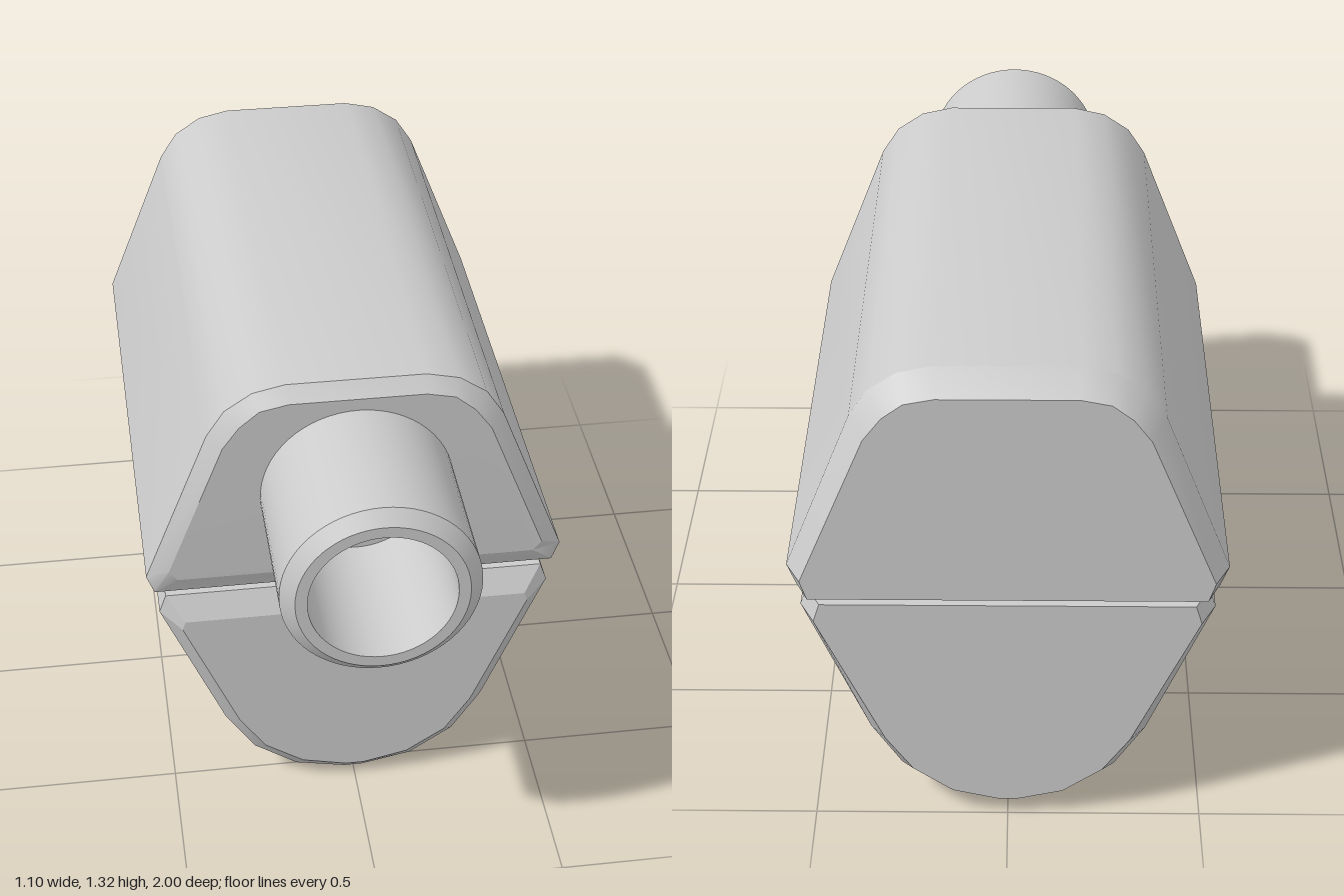
import * as THREE from 'three';
import { toCreasedNormals } from 'three/addons/utils/BufferGeometryUtils.js';

const material = new THREE.MeshStandardMaterial({ color: 0xcccccc });

// Mirror a right-hand half outline (listed upwards) into a closed loop at depth z
function section(half, z) {
  const left = half.map(([x, y]) => [-x, y]).reverse();
  return [...half, ...left].map(([x, y]) => new THREE.Vector3(x, y, z));
}

// Skin convex sections from front to back and cap both ends
function loft(sections) {
  const pos = [];
  const tri = (...pts) => pts.forEach((p) => pos.push(p.x, p.y, p.z));
  const n = sections[0].length;
  for (let s = 0; s < sections.length - 1; s++) {
    const a = sections[s], b = sections[s + 1];
    for (let i = 0; i < n; i++) {
      const j = (i + 1) % n;
      tri(a[i], b[i], b[j]);
      tri(a[i], b[j], a[j]);
    }
  }
  const front = sections[0], back = sections[sections.length - 1];
  for (let i = 1; i < n - 1; i++) {
    tri(front[0], front[i], front[i + 1]);
    tri(back[0], back[i + 1], back[i]);
  }
  const geometry = new THREE.BufferGeometry();
  geometry.setAttribute('position', new THREE.Float32BufferAttribute(pos, 3));
  return toCreasedNormals(geometry, 0.47);
}

// Long half-shell with chamfered ends
function shell(name, outline, frontInset, backInset) {
  const mesh = new THREE.Mesh(loft([
    section(frontInset, 0.565),
    section(outline, 0.53),
    section(outline, -0.925),
    section(backInset, -1),
  ]), material);
  mesh.name = name;
  return mesh;
}

export function createModel() {
  const group = new THREE.Group();
  group.name = 'splitBody';

  group.add(shell('upperShell',
    [[0.53, 0.69], [0.55, 0.743], [0.38, 1.178], [0.333, 1.25], [0.262, 1.298], [0.178, 1.317]],
    [[0.47, 0.752], [0.492, 0.78], [0.343, 1.16], [0.3, 1.22], [0.248, 1.264], [0.174, 1.28]],
    [[0.495, 0.69], [0.512, 0.743], [0.343, 1.155], [0.298, 1.215], [0.246, 1.255], [0.172, 1.27]]));

  group.add(shell('lowerShell',
    [[0.025, 0.002], [0.16, 0.03], [0.277, 0.11], [0.355, 0.23], [0.52, 0.622], [0.502, 0.674]],
    [[0.025, 0.042], [0.145, 0.07], [0.25, 0.14], [0.32, 0.245], [0.463, 0.582], [0.455, 0.606]],
    [[0.025, 0.05], [0.142, 0.078], [0.243, 0.15], [0.313, 0.25], [0.482, 0.622], [0.466, 0.674]]));

  // Hollow spout: outer wall, chamfered rim and bore, turned around z
  const profile = [[0.25, 0.55], [0.25, 0.967], [0.215, 1], [0.185, 1], [0.185, 0.55]]
    .map(([r, h]) => new THREE.Vector2(r, h));
  const spout = new THREE.Mesh(
    toCreasedNormals(new THREE.LatheGeometry(profile, 64), 0.47), material);
  spout.name = 'spout';
  spout.rotation.x = Math.PI / 2;
  spout.position.y = 0.997;
  group.add(spout);

  return group;
}
